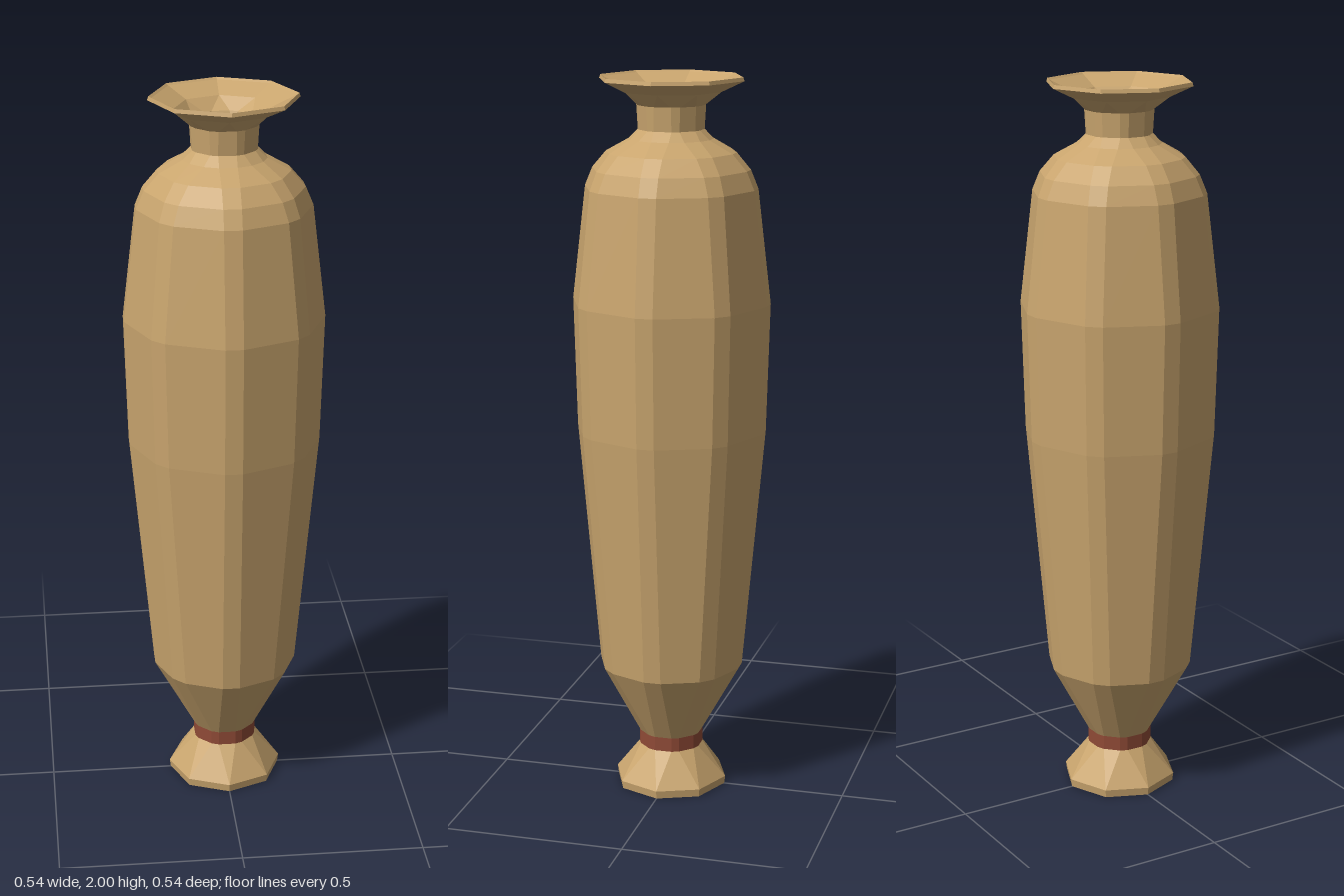
import * as THREE from 'three';

// Half width of the narrow facets that chamfer the eight corners
const BEVEL = 0.024;

// Eight-cornered ring; each corner is a pair of points (merged when w = 0)
function ring([r, y, w = BEVEL]) {
  const points = [];
  for (let k = 0; k < 8; k++) {
    const a = (k * Math.PI) / 4;
    const s = Math.sin(a), c = Math.cos(a);
    for (const t of [-w, w]) points.push(new THREE.Vector3(s * r + c * t, y, c * r - s * t));
  }
  return points;
}

// Skin a list of [radius, height, bevel] rings with flat facets
function skin(name, profile, material) {
  const rings = profile.map(ring);
  const positions = [];
  const addTriangle = (a, b, c) => {
    if (new THREE.Triangle(a, b, c).getArea() < 1e-7) return;
    for (const p of [a, b, c]) positions.push(p.x, p.y, p.z);
  };
  for (let j = 0; j < rings.length - 1; j++) {
    const low = rings[j], high = rings[j + 1];
    for (let i = 0; i < 16; i++) {
      const n = (i + 1) % 16;
      addTriangle(low[i], low[n], high[n]);
      addTriangle(low[i], high[n], high[i]);
    }
  }
  const geometry = new THREE.BufferGeometry();
  geometry.setAttribute('position', new THREE.Float32BufferAttribute(positions, 3));
  geometry.computeVertexNormals();
  const mesh = new THREE.Mesh(geometry, material);
  mesh.name = name;
  return mesh;
}

export function createModel() {
  const clay = new THREE.MeshStandardMaterial({ color: 0xc9a56e, flatShading: true });
  clay.name = 'tan clay';
  const red = new THREE.MeshStandardMaterial({ color: 0x8f4a36, flatShading: true });
  red.name = 'red clay';

  const vase = new THREE.Group();
  vase.name = 'vase';

  // Flared foot with a closed base
  vase.add(skin('foot', [[0, 0, 0], [0.157, 0, 0], [0.16, 0.022, 0], [0.086, 0.115]], clay));

  // Painted collar above the foot
  vase.add(skin('footBand', [[0.086, 0.115], [0.086, 0.155]], red));

  // Tall body with rounded shoulder
  vase.add(skin('body', [
    [0.086, 0.155], [0.2, 0.36], [0.262, 1.04], [0.272, 1.395],
    [0.235, 1.705], [0.214, 1.755], [0.175, 1.8], [0.112, 1.835], [0.086, 1.86],
  ], clay));

  // Neck and flared mouth, turning inwards over the lip
  vase.add(skin('neckAndLip', [
    [0.086, 1.86], [0.09, 1.925], [0.137, 1.96, 0], [0.2, 1.99, 0], [0.197, 2, 0],
    [0.19, 1.995, 0], [0.13, 1.967, 0], [0.088, 1.935],
  ], clay));

  // Shallow throat with a flat floor
  vase.add(skin('throat', [[0.088, 1.935], [0.06, 1.87], [0, 1.87, 0]], clay));

  return vase;
}
